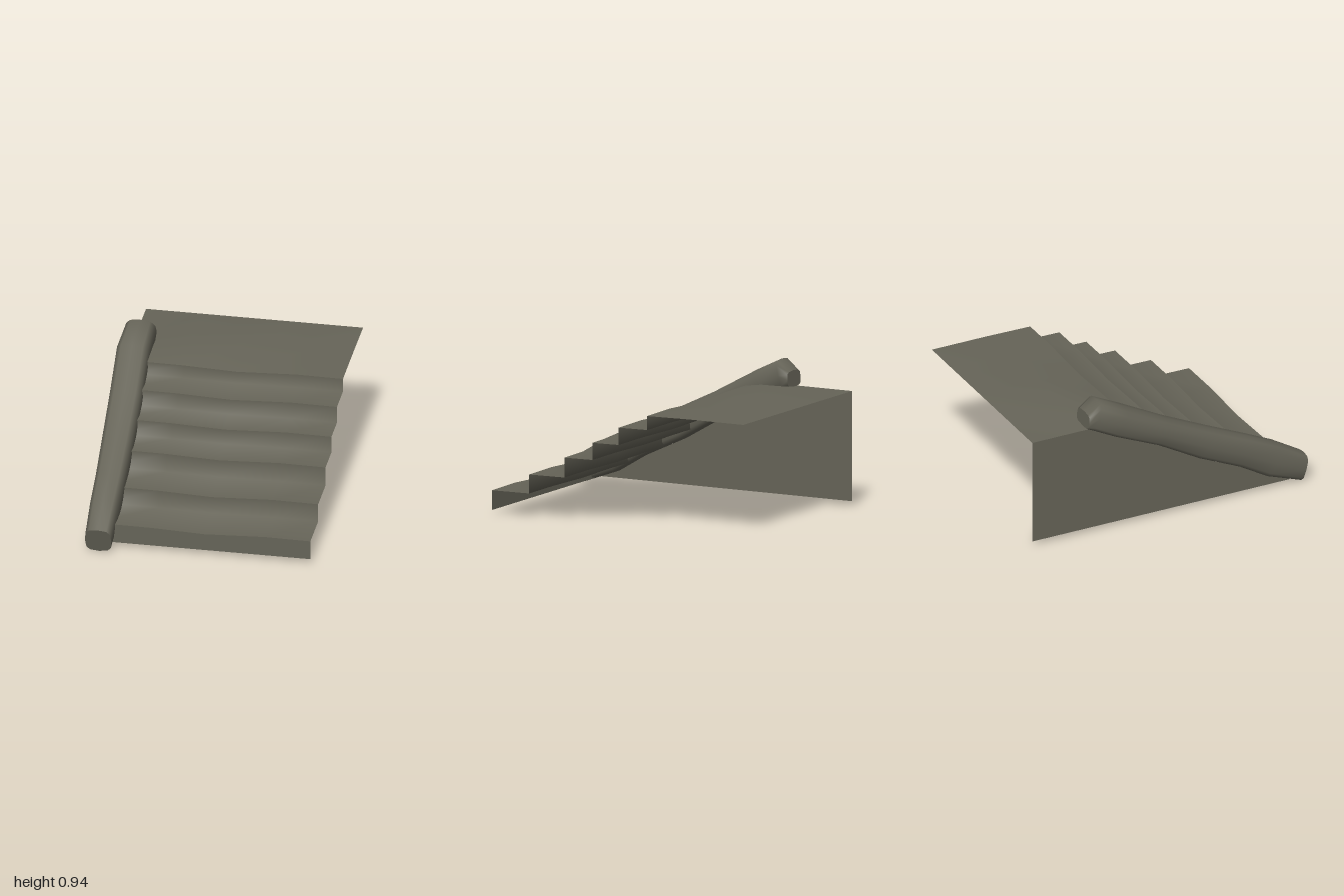
import * as THREE from 'three';

const stone = new THREE.MeshStandardMaterial({ color: 0x666458, side: THREE.DoubleSide });
stone.name = 'weatheredStone';

// Columns across the stairs, and the worn dip of an edge at each column
const COLS = [-0.68, -0.3, 0.05, 0.45, 0.75];
const WEAR = [0, -0.002, -0.015, 0.003, 0];
const LEFT = -0.68, BACK = -1, BASE = 0.03;

// Each step: z of its riser, y of its tread
const STEPS = [
  [0.87, 0.16], [0.593, 0.288], [0.332, 0.422],
  [0.123, 0.538], [-0.073, 0.655], [-0.285, 0.75],
];

function makeMesh(name, points, index) {
  const geo = new THREE.BufferGeometry();
  geo.setAttribute('position', new THREE.Float32BufferAttribute(points.flat(), 3));
  geo.setIndex(index);
  geo.computeVertexNormals();
  const mesh = new THREE.Mesh(geo, stone);
  mesh.name = name;
  return mesh;
}

// Sheet through rows of points, smooth inside the sheet
function sheet(name, rows) {
  const n = rows[0].length, index = [];
  for (let j = 0; j < rows.length - 1; j++) {
    for (let i = 0; i < n - 1; i++) {
      const a = j * n + i, d = a + n;
      index.push(a, a + 1, d + 1, a, d + 1, d);
    }
  }
  return makeMesh(name, rows.flat(), index);
}

const row = (z, y, offsets) => COLS.map((x, i) => [x, y + (offsets ? offsets[i] : 0), z]);

function buildStairs() {
  const stairs = new THREE.Group();
  stairs.name = 'stairs';
  const [z0, y0] = STEPS[0];
  stairs.add(sheet('bottomRiser', [row(z0, BASE), row(z0, y0, WEAR)]));

  // Each tread flows smoothly into the riser behind it; the nose stays sharp
  for (let k = 0; k < STEPS.length - 1; k++) {
    const [z, y] = STEPS[k], [zn, yn] = STEPS[k + 1];
    const inner = WEAR.map((w) => w * 0.4 + 0.003);
    stairs.add(sheet('step' + (k + 1), [row(z, y, WEAR), row(zn, y, inner), row(zn, yn, WEAR)]));
  }

  // Landing with a slight swell behind the top nose
  const [zt, yt] = STEPS[STEPS.length - 1];
  stairs.add(sheet('landing', [
    row(zt, yt, WEAR),
    row(-0.6, 0.755, [0, 0.039, 0.026, 0.012, 0]),
    row(BACK, 0.755),
  ]));
  return stairs;
}

// Side wall following the stair profile
function buildSideWall() {
  const shape = new THREE.Shape();
  shape.moveTo(BACK, BASE);
  let y = BASE;
  const outline = [];
  for (const [z, top] of STEPS) {
    outline.push([z, y], [z, top]);
    y = top;
  }
  outline.push([-0.6, 0.755], [BACK, 0.755]);
  outline.forEach(([z, h]) => shape.lineTo(z, h));
  const geo = new THREE.ShapeGeometry(shape);
  geo.rotateY(-Math.PI / 2);
  geo.translate(LEFT, 0, 0);
  const mesh = new THREE.Mesh(geo, stone);
  mesh.name = 'sideWall';
  return mesh;
}

// Rounded balustrade lofted through tilted sections
function buildBalustrade() {
  // top z, top y, bottom z, bottom y, outer x, inner x
  const sections = [
    [1.0, 0.175, 0.95, 0.0, -0.716, -0.542],
    [0.8, 0.295, 0.7, 0.09, -0.724, -0.53],
    [0.6, 0.388, 0.5, 0.21, -0.725, -0.526],
    [0.33, 0.512, 0.2, 0.35, -0.735, -0.525],
    [0.0, 0.67, -0.1, 0.525, -0.745, -0.527],
    [-0.32, 0.845, -0.42, 0.67, -0.757, -0.537],
    [-0.51, 0.935, -0.56, 0.735, -0.728, -0.528],
    [-0.595, 0.865, -0.605, 0.758, -0.712, -0.535],
  ];
  const n = 12;
  const soft = (v) => (Math.abs(v) < 1e-6 ? 0 : Math.sign(v) * Math.abs(v) ** 0.6);
  const rings = sections.map(([tz, ty, bz, by, xo, xi]) =>
    Array.from({ length: n }, (_, i) => {
      const t = (i / n) * Math.PI * 2;
      const u = soft(Math.cos(t)), v = soft(Math.sin(t));
      return [
        (xo + xi) / 2 + (u * (xi - xo)) / 2,
        (ty + by) / 2 + (v * (ty - by)) / 2,
        (tz + bz) / 2 + (v * (tz - bz)) / 2,
      ];
    }));

  const index = [];
  for (let j = 0; j < rings.length - 1; j++) {
    for (let i = 0; i < n; i++) {
      const a = j * n + i, b = j * n + ((i + 1) % n);
      index.push(a, a + n, b + n, a, b + n, b);
    }
  }
  const group = new THREE.Group();
  group.name = 'balustrade';
  group.add(makeMesh('balustradeBody', rings.flat(), index));

  // End caps
  const fan = (flip) => {
    const out = [];
    for (let i = 1; i < n - 1; i++) out.push(0, flip ? i + 1 : i, flip ? i : i + 1);
    return out;
  };
  group.add(makeMesh('balustradeFrontEnd', rings[0], fan(false)));
  group.add(makeMesh('balustradeBackEnd', rings[rings.length - 1], fan(true)));
  return group;
}

export function createModel() {
  const model = new THREE.Group();
  model.name = 'stoneStaircase';
  model.add(buildStairs(), buildSideWall(), buildBalustrade());
  return model;
}
